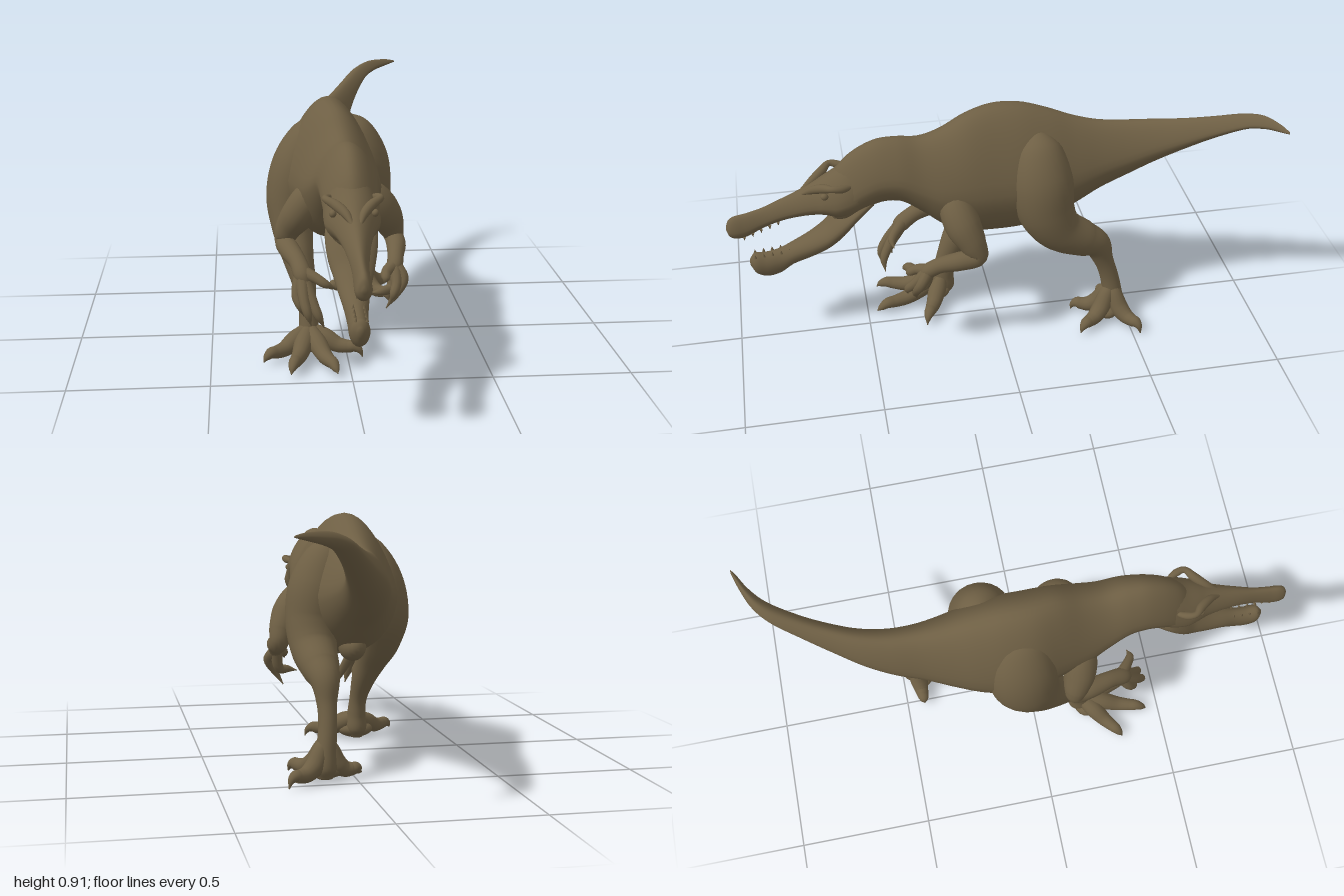
import * as THREE from 'three';

const hide = new THREE.MeshStandardMaterial({ color: 0x6e5f44 });
hide.name = 'olive brown hide';

// Closed smooth skin over a list of rings, each running anticlockwise about the direction of travel
function skin(name, rings) {
  const n = rings[0].length, pos = [], idx = [];
  rings.forEach(r => r.forEach(p => pos.push(p.x, p.y, p.z)));
  for (let i = 0; i < rings.length - 1; i++) {
    for (let j = 0; j < n; j++) {
      const a = i * n + j, b = i * n + (j + 1) % n;
      idx.push(a, b, a + n, b, b + n, a + n);
    }
  }
  [0, rings.length - 1].forEach((ri, end) => {
    const c = new THREE.Vector3();
    rings[ri].forEach(p => c.addScaledVector(p, 1 / n));
    const k = pos.length / 3;
    pos.push(c.x, c.y, c.z);
    for (let j = 0; j < n; j++) {
      const a = ri * n + j, b = ri * n + (j + 1) % n;
      if (end) idx.push(a, b, k); else idx.push(b, a, k);
    }
  });
  const g = new THREE.BufferGeometry();
  g.setAttribute('position', new THREE.Float32BufferAttribute(pos, 3));
  g.setIndex(idx);
  g.computeVertexNormals();
  const m = new THREE.Mesh(g, hide);
  m.name = name;
  return m;
}

// Upright sections along z: rows of [z, centre x, top, bottom, half width]
function hull(name, rows, ridge, wide, n = 36) {
  const path = new THREE.CatmullRomCurve3(rows.map(r => new THREE.Vector3(r[0], r[1], r[4])), false, 'centripetal');
  const span = new THREE.CatmullRomCurve3(rows.map(r => new THREE.Vector3(r[0], r[2], r[3])), false, 'centripetal');
  const rings = [], steps = (rows.length - 1) * 5;
  for (let i = 0; i <= steps; i++) {
    const p = path.getPoint(i / steps), s = span.getPoint(i / steps);
    const mid = s.z + (s.y - s.z) * wide, ring = [];
    for (let j = 0; j < n; j++) {
      const a = j / n * Math.PI * 2, c = Math.cos(a);
      ring.push(new THREE.Vector3(
        p.y - p.z * Math.sin(a) * (1 - ridge * Math.max(c, 0)),
        mid + (c > 0 ? s.y - mid : mid - s.z) * c, p.x));
    }
    rings.push(ring);
  }
  return skin(name, rings);
}

// Tapering limb through points [x, y, z, radius], optionally stretched along z
function limb(name, pts, n = 16, zs = 1) {
  const path = new THREE.CatmullRomCurve3(pts.map(p => new THREE.Vector3(p[0], p[1], p[2])), false, 'centripetal');
  const radii = new THREE.SplineCurve(pts.map((p, i) => new THREE.Vector2(i, p[3])));
  const rings = [], steps = (pts.length - 1) * 6;
  const normal = new THREE.Vector3(0.97, 0.1, 0.2);
  for (let i = 0; i <= steps; i++) {
    const c = path.getPoint(i / steps), t = path.getTangent(i / steps);
    const r = Math.max(radii.getPoint(i / steps).y, 0.001);
    normal.addScaledVector(t, -normal.dot(t)).normalize();
    const side = new THREE.Vector3().crossVectors(t, normal), ring = [];
    for (let j = 0; j < n; j++) {
      const a = j / n * Math.PI * 2;
      const o = normal.clone().multiplyScalar(Math.cos(a) * r).addScaledVector(side, Math.sin(a) * r);
      o.z *= zs;
      ring.push(o.add(c));
    }
    rings.push(ring);
  }
  return skin(name, rings);
}

// Ellipsoid lump from its centre and three radii
function lump(name, centre, radii) {
  const m = new THREE.Mesh(new THREE.SphereGeometry(1, 20, 14), hide);
  m.name = name;
  m.position.set(...centre);
  m.scale.set(...radii);
  return m;
}

// Foot: toes fan from the ankle, each ending in a hooked claw
function foot(name, [x, y, z], tips) {
  const g = new THREE.Group();
  g.name = name;
  for (const [tx, ty, tz] of tips) {
    const at = (f, h, r) => [x + (tx - x) * f, h, z + (tz - z) * f, r];
    g.add(limb('toe', [at(-0.05, y, 0.016), at(0.12, y * 0.72, 0.03), at(0.32, 0.066, 0.035), at(0.55, 0.045, 0.029),
      at(0.73, 0.044, 0.024), at(0.84, 0.046, 0.021), at(0.94, 0.035, 0.013), [tx, ty, tz, 0.002]], 14));
  }
  // Webbed pad under the toes
  g.add(lump('footPad', [x, 0.045, z + 0.015], [0.07, 0.033, 0.05]));
  return g;
}

// Hand: fingers through a knuckle to a claw tip
function hand(name, [x, y, z], fingers) {
  const g = new THREE.Group();
  g.name = name;
  for (const [k, t] of fingers) {
    const m = k.map((v, i) => v + (t[i] - v) * 0.5);
    m[2] += 0.012;
    g.add(limb('finger', [[x, y, z, 0.025], [...k, 0.019], [...m, 0.015], [...t, 0.002]], 10));
  }
  return g;
}

export function createModel() {
  const model = new THREE.Group();
  model.name = 'dinosaur';

  // Tail, torso, neck and back of the skull
  model.add(hull('body', [
    [-1, 0.308, 0.902, 0.893, 0.008], [-0.985, 0.275, 0.909, 0.885, 0.022], [-0.95, 0.205, 0.91, 0.866, 0.035],
    [-0.9, 0.15, 0.893, 0.842, 0.039], [-0.8, 0.092, 0.86, 0.78, 0.045], [-0.7, 0.045, 0.835, 0.715, 0.056],
    [-0.6, 0.005, 0.82, 0.65, 0.071], [-0.5, -0.018, 0.814, 0.59, 0.087], [-0.4, -0.028, 0.82, 0.54, 0.105],
    [-0.3, -0.035, 0.845, 0.48, 0.135], [-0.2, -0.04, 0.885, 0.43, 0.165], [-0.1, -0.045, 0.915, 0.405, 0.18],
    [0, -0.045, 0.92, 0.4, 0.18], [0.1, -0.03, 0.9, 0.415, 0.165], [0.2, -0.02, 0.85, 0.46, 0.148],
    [0.28, -0.015, 0.83, 0.53, 0.127], [0.36, -0.01, 0.84, 0.588, 0.112], [0.43, -0.01, 0.838, 0.59, 0.104],
    [0.5, -0.01, 0.81, 0.56, 0.098], [0.56, -0.01, 0.765, 0.52, 0.088], [0.61, -0.01, 0.7, 0.53, 0.06],
  ], 0.31, 0.45));
  model.add(lump('pelvis', [-0.035, 0.445, -0.2], [0.05, 0.055, 0.08]));

  // Upper and lower jaws
  const head = new THREE.Group();
  head.name = 'head';
  head.add(hull('upperJaw', [
    [0.46, -0.01, 0.82, 0.59, 0.085], [0.53, -0.01, 0.775, 0.55, 0.096], [0.59, -0.01, 0.73, 0.545, 0.094],
    [0.635, -0.01, 0.703, 0.558, 0.08], [0.67, -0.01, 0.682, 0.56, 0.066], [0.73, -0.01, 0.652, 0.555, 0.05],
    [0.8, -0.01, 0.622, 0.54, 0.037], [0.87, -0.01, 0.594, 0.512, 0.028], [0.93, -0.01, 0.578, 0.482, 0.028],
    [0.97, -0.01, 0.57, 0.478, 0.028], [0.99, -0.01, 0.556, 0.49, 0.022], [1, -0.01, 0.53, 0.515, 0.006],
  ], 0.2, 0.4, 28));
  head.add(hull('lowerJaw', [
    [0.46, -0.01, 0.64, 0.58, 0.07], [0.53, -0.01, 0.605, 0.515, 0.09], [0.585, -0.012, 0.56, 0.445, 0.085],
    [0.64, -0.012, 0.5, 0.398, 0.068], [0.7, -0.014, 0.458, 0.365, 0.053], [0.77, -0.014, 0.423, 0.336, 0.041],
    [0.82, -0.014, 0.402, 0.3, 0.034], [0.87, -0.014, 0.392, 0.29, 0.034], [0.91, -0.014, 0.394, 0.308, 0.03],
    [0.93, -0.014, 0.37, 0.345, 0.008],
  ], 0.05, 0.55, 28));
  for (const s of [-1, 1]) {
    const x = v => -0.01 + s * v;
    // Flared brow ridge with the eye beneath it
    head.add(limb('brow', [[x(0.012), 0.645, 0.72, 0.006], [x(0.03), 0.672, 0.675, 0.015],
      [x(0.06), 0.692, 0.635, 0.017], [x(0.09), 0.704, 0.605, 0.012], [x(0.085), 0.698, 0.57, 0.014],
      [x(0.055), 0.69, 0.52, 0.006]], 14));
    head.add(lump('eye', [x(0.07), 0.663, 0.635], [0.012, 0.013, 0.014]));
    // Small teeth along both jaws
    for (let i = 0; i < 5; i++) {
      const z = 0.78 + i * 0.032;
      for (const up of [0, 1]) {
        const tooth = new THREE.Mesh(new THREE.ConeGeometry(0.006, 0.016, 6), hide);
        tooth.name = 'tooth';
        tooth.position.set(x(0.018), up ? 0.532 - (z - 0.78) * 0.4 : 0.407 - i * 0.003, up ? z + 0.03 : z);
        if (up) tooth.rotation.x = Math.PI;
        head.add(tooth);
      }
    }
  }
  model.add(head);

  // Hind legs in mid stride: left trails, right leads
  model.add(limb('leftLeg', [
    [0.005, 0.83, -0.15, 0.025], [0.048, 0.765, -0.155, 0.08], [0.085, 0.655, -0.16, 0.107], [0.107, 0.535, -0.175, 0.1],
    [0.113, 0.45, -0.225, 0.085], [0.106, 0.39, -0.315, 0.07], [0.1, 0.35, -0.375, 0.053], [0.1, 0.275, -0.407, 0.036],
    [0.102, 0.2, -0.432, 0.033], [0.11, 0.12, -0.447, 0.036], [0.115, 0.055, -0.45, 0.042], [0.115, 0.02, -0.45, 0.028],
  ], 24, 1.08));
  model.add(foot('leftFoot', [0.11, 0.17, -0.44],
    [[0.22, 0.015, -0.3], [0.255, 0.008, -0.53], [0.06, 0.012, -0.295], [-0.02, 0.03, -0.43]]));
  model.add(limb('rightLeg', [
    [-0.06, 0.845, -0.035, 0.025], [-0.103, 0.778, -0.045, 0.08], [-0.152, 0.665, -0.05, 0.106], [-0.182, 0.54, -0.042, 0.103],
    [-0.186, 0.435, 0.005, 0.08], [-0.172, 0.345, 0.08, 0.06], [-0.154, 0.265, 0.132, 0.046], [-0.142, 0.18, 0.172, 0.034],
    [-0.138, 0.11, 0.188, 0.036], [-0.138, 0.055, 0.195, 0.042], [-0.138, 0.02, 0.2, 0.028],
  ], 24, 1.22));
  model.add(foot('rightFoot', [-0.138, 0.12, 0.195],
    [[-0.31, 0.02, 0.33], [-0.215, 0.02, 0.45], [-0.05, 0.025, 0.465], [0.055, 0.01, 0.28]]));

  // Arms with clawed hands
  model.add(limb('leftArm', [
    [0.04, 0.66, 0.165, 0.025], [0.09, 0.597, 0.165, 0.06], [0.138, 0.53, 0.145, 0.067], [0.172, 0.468, 0.115, 0.052],
    [0.188, 0.418, 0.1, 0.037], [0.188, 0.404, 0.17, 0.036], [0.178, 0.388, 0.24, 0.03], [0.17, 0.36, 0.285, 0.028],
    [0.165, 0.335, 0.3, 0.015],
  ], 18));
  model.add(hand('leftHand', [0.17, 0.365, 0.28], [
    [[0.198, 0.32, 0.315], [0.135, 0.215, 0.325]],
    [[0.17, 0.31, 0.335], [0.145, 0.25, 0.36]],
    [[0.155, 0.285, 0.3], [0.08, 0.272, 0.32]],
    [[0.135, 0.35, 0.32], [0.125, 0.32, 0.355]],
  ]));
  model.add(limb('rightArm', [
    [-0.075, 0.66, 0.165, 0.025], [-0.125, 0.597, 0.17, 0.06], [-0.172, 0.53, 0.165, 0.062], [-0.21, 0.468, 0.147, 0.048],
    [-0.222, 0.422, 0.145, 0.037], [-0.205, 0.404, 0.21, 0.038], [-0.18, 0.385, 0.29, 0.032], [-0.165, 0.35, 0.345, 0.032],
    [-0.155, 0.32, 0.365, 0.016],
  ], 18));
  model.add(hand('rightHand', [-0.17, 0.365, 0.33], [
    [[-0.165, 0.28, 0.405], [-0.142, 0.195, 0.43]],
    [[-0.135, 0.27, 0.4], [-0.095, 0.182, 0.42]],
    [[-0.12, 0.35, 0.37], [-0.055, 0.318, 0.385]],
    [[-0.19, 0.29, 0.37], [-0.165, 0.215, 0.385]],
  ]));
  return model;
}
